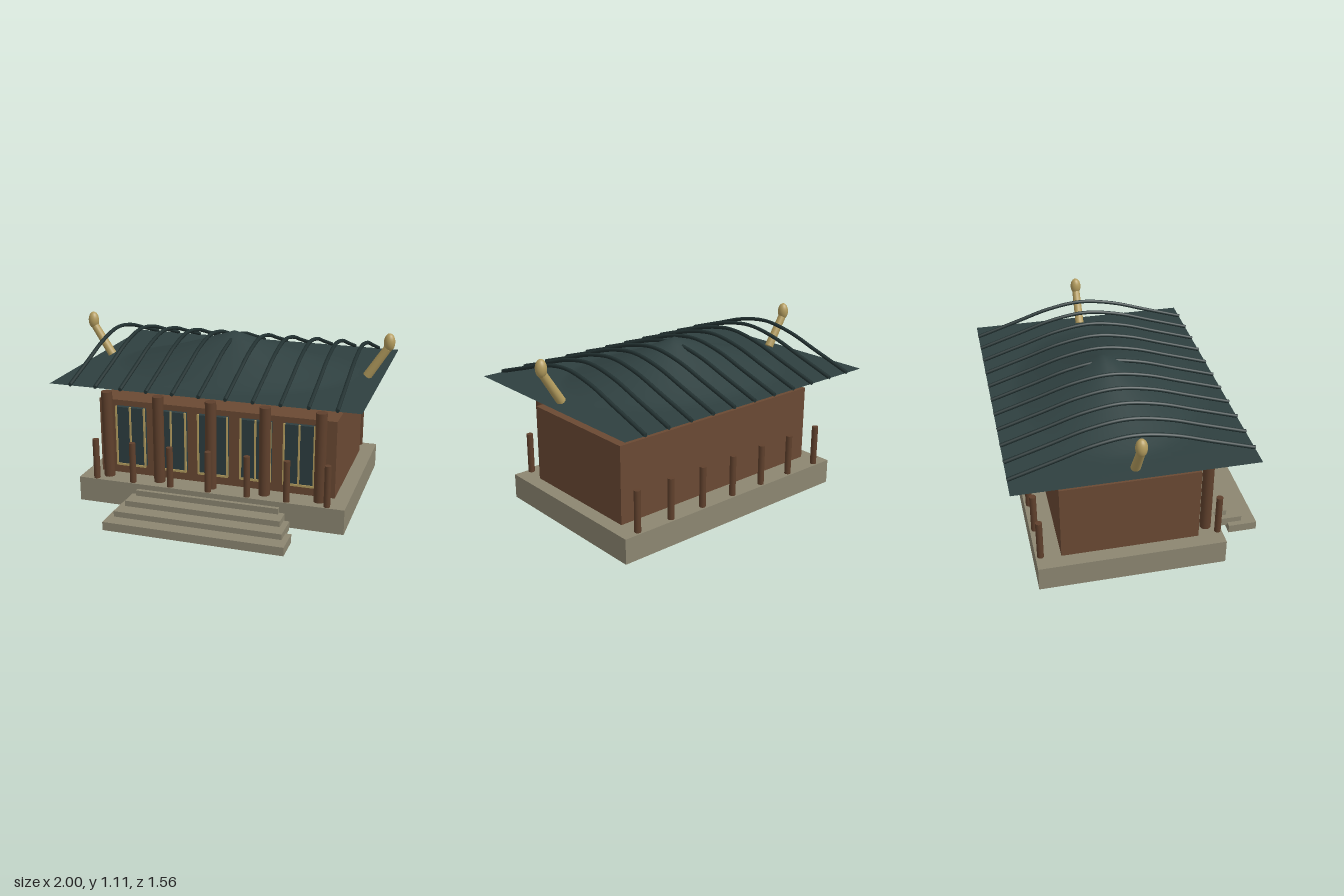
import * as THREE from 'three';

const material = (name, color, side = THREE.FrontSide) => {
  const m = new THREE.MeshStandardMaterial({ color, side });
  m.name = name;
  return m;
};

export function createModel() {
  const stone = material('stone', 0x8c8671);
  const wood = material('wood', 0x6a4933);
  const darkWood = material('dark wood', 0x5f402c);
  const tile = material('roof tile', 0x2f4040, THREE.DoubleSide);
  const ribTile = material('rib tile', 0x223131);
  const glass = material('window glass', 0x2d3d40);
  const gold = material('gold', 0xb39c5e);

  const model = new THREE.Group();
  model.name = 'pavilion';
  const MID = -0.08; // z of the building's centre line
  const FLOOR = 0.19;

  const add = (name, geometry, mat, x = 0, y = 0, z = 0, parent = model) => {
    const mesh = new THREE.Mesh(geometry, mat);
    mesh.name = name;
    mesh.position.set(x, y, z);
    parent.add(mesh);
    return mesh;
  };
  // box given by its centre x, and its y and z ranges
  const box = (name, mat, x, w, y0, y1, z0, z1, parent) =>
    add(name, new THREE.BoxGeometry(w, y1 - y0, z1 - z0), mat, x, (y0 + y1) / 2, (z0 + z1) / 2, parent);

  // Platform and front steps
  box('platform', stone, 0, 1.676, 0.035, FLOOR, -0.645, 0.485);
  for (let i = 0; i < 4; i++) {
    const y = i * 0.035, z = 0.78 - i * 0.09;
    box('step', stone, 0, 1.11 - i * 0.07, y, y + 0.053, z - 0.18, z);
  }

  // Hall
  box('hall', wood, 0, 1.5, FLOOR, 0.67, -0.495, 0.335);

  // Front columns
  const columnShape = new THREE.CylinderGeometry(0.034, 0.034, 0.55, 16);
  for (let i = -2; i <= 2; i++) add('column', columnShape, darkWood, i * 0.335, FLOOR + 0.275, 0.4);

  // Railing posts along front and back
  const postShape = new THREE.CylinderGeometry(0.02, 0.02, 0.255, 12);
  for (let i = -3; i <= 3; i++) {
    for (const z of [0.46, -0.615]) add('railingPost', postShape, darkWood, i * 0.243, FLOOR + 0.1275, z);
  }

  // Windows with gold bars and sill
  for (let i = -2; i <= 2; i++) {
    const win = new THREE.Group();
    win.name = 'window';
    win.position.x = i * 0.267;
    model.add(win);
    box('pane', glass, 0, 0.19, 0.26, 0.635, 0.335, 0.365, win);
    for (const x of [-0.092, 0, 0.092]) box('windowBar', gold, x, 0.011, 0.255, 0.64, 0.362, 0.372, win);
    box('windowSill', gold, 0, 0.19, 0.253, 0.266, 0.362, 0.372, win);
  }

  // Roof sheet: flat eaves rising to a soft elliptical peak
  const HX = 0.935, HZ = 0.6975, EAVE = 0.83;
  const roof = new THREE.PlaneGeometry(2 * HX, 2 * HZ, 48, 36).rotateX(-Math.PI / 2);
  const p = roof.attributes.position;
  for (let i = 0; i < p.count; i++) {
    const r = Math.hypot(p.getX(i) / HX, p.getZ(i) / HZ);
    p.setY(i, 0.23 * Math.pow(Math.max(0, 1 - r / 0.8), 1.15));
  }
  roof.computeVertexNormals();
  add('roof', roof, tile, 0, EAVE, MID);

  // Arched roof ribs
  const half = [[0.6975, 0.835], [0.44, 0.918], [0.22, 0.988]];
  const arch = [...half, [0, 1.02], ...half.map(([z, y]) => [-z, y]).reverse()];
  const curve = new THREE.CatmullRomCurve3(arch.map(([z, y]) => new THREE.Vector3(0, y, z)));
  const ribShape = new THREE.TubeGeometry(curve, 32, 0.012, 8);
  const ribCap = new THREE.CircleGeometry(0.012, 8);
  for (let i = -5; i <= 5; i++) {
    add('roofRib', ribShape, ribTile, i * 0.16, 0, MID);
    for (const s of [1, -1]) {
      add('ribEnd', ribCap, ribTile, i * 0.16, 0.835, MID + s * HZ).rotation.y = s > 0 ? 0 : Math.PI;
    }
  }

  // Leaning finials at the two gable ends
  for (const s of [-1, 1]) {
    const foot = new THREE.Vector3(s * 0.842, 0.838, MID);
    const tip = new THREE.Vector3(s * 0.957, 1.02, MID);
    const dir = tip.clone().sub(foot);
    const mid = foot.clone().add(tip).multiplyScalar(0.5);
    const stem = add('finialStem', new THREE.CylinderGeometry(0.025, 0.028, dir.length(), 16), gold, mid.x, mid.y, mid.z);
    stem.quaternion.setFromUnitVectors(new THREE.Vector3(0, 1, 0), dir.normalize());
    add('finialBulb', new THREE.SphereGeometry(0.034, 20, 14).scale(1, 1.62, 1), gold, s * 0.966, 1.057, MID);
  }

  return model;
}
